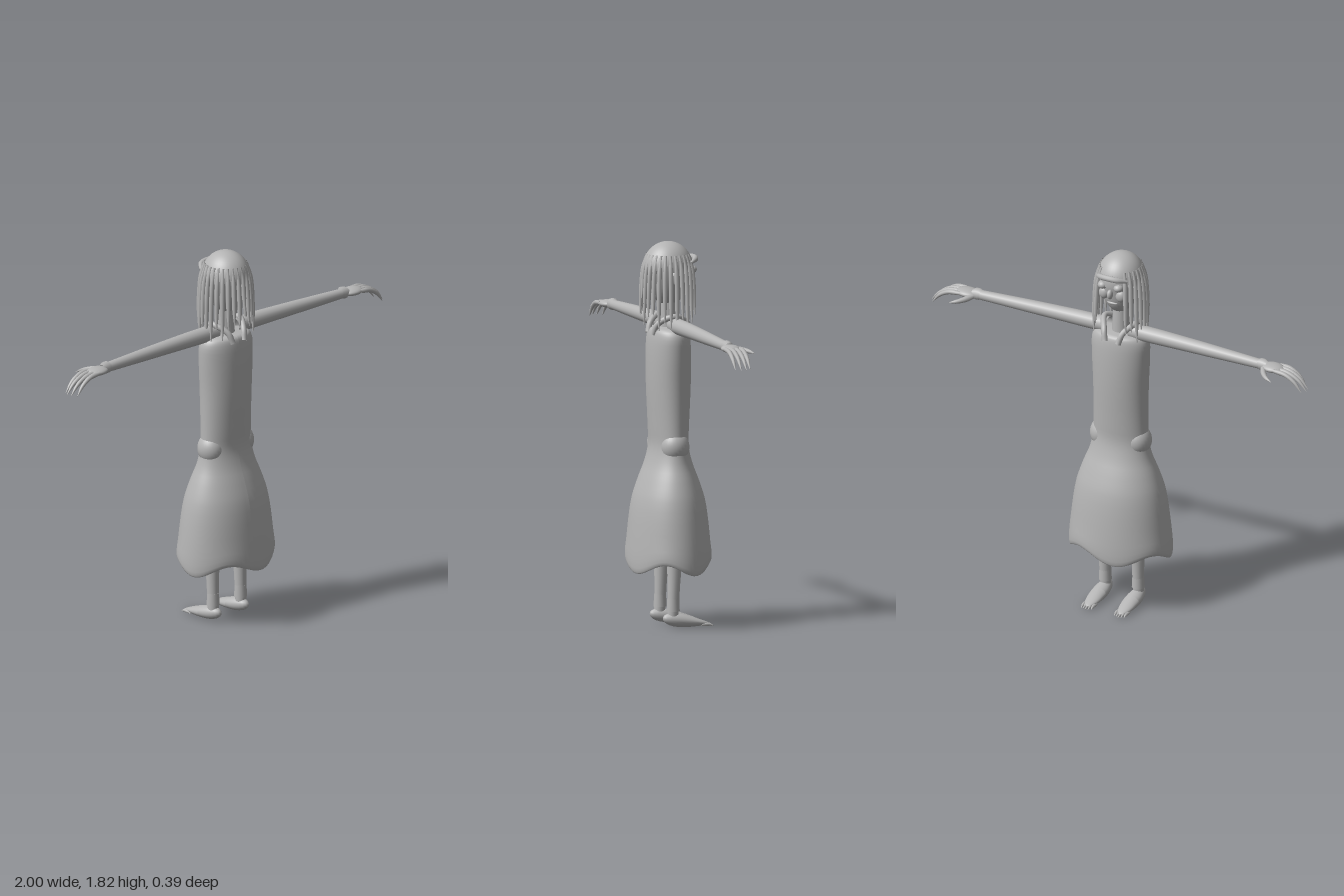
import * as THREE from 'three';

const V = (x, y, z) => new THREE.Vector3(x, y, z);
const clay = new THREE.MeshStandardMaterial({ color: 0xb4b4b4, side: THREE.DoubleSide });
clay.name = 'grey clay';

function add(parent, name, geometry) {
  const mesh = new THREE.Mesh(geometry, clay);
  mesh.name = name;
  parent.add(mesh);
  return mesh;
}

function ellipsoid(parent, name, pos, rx, ry, rz) {
  const g = new THREE.SphereGeometry(1, 28, 18).scale(rx, ry, rz);
  add(parent, name, g).position.set(...pos);
}

// Round limb along a smooth path; radii are spread evenly along its length.
function limb(parent, name, path, radii, sides = 10, segs = 24) {
  const curve = new THREE.CatmullRomCurve3(path.map(p => V(...p)));
  const g = new THREE.TubeGeometry(curve, segs, 1, sides);
  const p = g.attributes.position, v = V(0, 0, 0);
  for (let i = 0; i < p.count; i++) {
    const t = Math.floor(i / (sides + 1)) / segs, f = t * (radii.length - 1);
    const k = Math.min(Math.floor(f), radii.length - 2);
    const r = THREE.MathUtils.lerp(radii[k], radii[k + 1], f - k);
    const c = curve.getPointAt(t);
    v.fromBufferAttribute(p, i).sub(c).multiplyScalar(r).add(c);
    p.setXYZ(i, v.x, v.y, v.z);
  }
  add(parent, name, g);
}

// Elliptical loft through rows of [y, rx, rz], with an optional wavy hem.
function loft(rows, hem = () => 0, sides = 64, n = 48) {
  const pts = new THREE.CatmullRomCurve3(rows.map(r => V(r[1], r[0], r[2])), false, 'centripetal').getPoints(n);
  const g = new THREE.LatheGeometry(pts.map(p => new THREE.Vector2(Math.max(p.x, 1e-4), p.y)), sides);
  const a = g.attributes.position;
  for (let i = 0; i < a.count; i++) {
    const q = pts[i % (n + 1)], phi = Math.floor(i / (n + 1)) / sides * Math.PI * 2;
    a.setXYZ(i, q.x * Math.sin(phi), q.y + hem(phi, q.y), q.z * Math.cos(phi));
  }
  g.computeVertexNormals();
  return g;
}

function buildDress(g) {
  const wave = (phi, y) => 0.026 * Math.cos(4 * (phi + Math.PI / 6)) * Math.max(0, 1 - (y - 0.29) / 0.12);
  add(g, 'dress', loft([
    [0.31, 0.235, 0.175], [0.29, 0.25, 0.188], [0.31, 0.257, 0.195], [0.42, 0.248, 0.188], [0.6, 0.222, 0.166],
    [0.7, 0.19, 0.135], [0.78, 0.158, 0.105], [0.86, 0.142, 0.087], [0.95, 0.138, 0.09],
    [1.15, 0.139, 0.1], [1.3, 0.146, 0.1], [1.38, 0.144, 0.094], [1.41, 0.125, 0.085],
    [1.42, 0.07, 0.055], [1.425, 0, 0]], wave));
  for (const s of [-1, 1]) {
    ellipsoid(g, 'hip', [s * 0.092, 0.86, 0], 0.064, 0.075, 0.068);
    limb(g, 'strap', [[s * 0.035, 1.39, 0.088], [s * 0.05, 1.44, 0.07], [s * 0.085, 1.475, 0],
      [s * 0.05, 1.44, -0.075], [s * 0.035, 1.39, -0.095]], [0.014, 0.014, 0.014]);
  }
}

function buildHead(g) {
  add(g, 'neck', new THREE.CylinderGeometry(0.035, 0.045, 0.18, 20)).position.set(0, 1.48, 0);
  add(g, 'face', loft([[1.525, 0, 0], [1.535, 0.035, 0.045], [1.58, 0.072, 0.082], [1.65, 0.096, 0.1],
    [1.72, 0.1, 0.108], [1.78, 0.075, 0.085], [1.81, 0, 0]], undefined, 32, 24));
  // Smooth cap of hair, open over the lower face
  const cap = new THREE.SphereGeometry(1, 36, 16, 0, Math.PI * 2, 0, Math.PI * 0.53).scale(0.112, 0.125, 0.12);
  add(g, 'hairCap', cap).position.set(0, 1.698, 0.002);
  // Hanging locks all round except in front of the face
  const count = 23;
  for (let i = 0; i < count; i++) {
    const a = (i / (count - 1) - 0.5) * 1.56 * Math.PI;
    const side = Math.abs(Math.sin(a));
    const end = 1.53 - 0.11 * side + 0.03 * Math.sin(i * 2.4);
    const at = (r, y) => [Math.sin(a) * r, y, Math.cos(a) * r * 1.05];
    limb(g, 'lock', [at(0.095, 1.765), at(0.113, 1.7), at(0.121, 1.62), at(0.127, end)],
      [0.006, 0.011, 0.011, 0.01, 0.002], 8, 14);
  }
  // Facial features on the -z side
  limb(g, 'browBand', [[-0.08, 1.725, -0.085], [-0.045, 1.738, -0.118], [0, 1.742, -0.127],
    [0.045, 1.738, -0.118], [0.08, 1.725, -0.085]], [0.006, 0.014, 0.014, 0.014, 0.006]);
  ellipsoid(g, 'nose', [0, 1.65, -0.108], 0.014, 0.024, 0.018);
  ellipsoid(g, 'mouth', [0, 1.595, -0.084], 0.028, 0.008, 0.01);
  for (const s of [-1, 1]) {
    ellipsoid(g, 'eye', [s * 0.042, 1.69, -0.1], 0.024, 0.02, 0.026);
    ellipsoid(g, 'cheek', [s * 0.045, 1.64, -0.084], 0.026, 0.03, 0.02);
    ellipsoid(g, 'ear', [s * 0.1, 1.66, 0], 0.014, 0.035, 0.02);
  }
}

function buildArm(g, s) {
  limb(g, 'arm', [[s * 0.06, 1.432, -0.008], [s * 0.3, 1.43, -0.008], [s * 0.55, 1.426, -0.008],
    [s * 0.76, 1.422, -0.008]], [0.038, 0.037, 0.034, 0.031, 0.027, 0.023], 18);
  limb(g, 'wristCuff', [[s * 0.735, 1.424, -0.008], [s * 0.76, 1.424, -0.008], [s * 0.785, 1.422, -0.008]],
    [0.02, 0.028, 0.028, 0.02], 16);
  ellipsoid(g, 'palm', [s * 0.815, 1.42, -0.007], 0.058, 0.019, 0.044);
  // Four curved fingers ending in thin points
  [-0.041, -0.017, 0.007, 0.029].forEach((z, i) => {
    const L = [0.135, 0.15, 0.145, 0.125][i];
    limb(g, 'finger', [[s * 0.835, 1.422, z], [s * (0.85 + L * 0.35), 1.415, z],
      [s * (0.85 + L * 0.72), 1.387, z], [s * (0.85 + L), 1.342, z]],
    [0.009, 0.012, 0.011, 0.01, 0.007, 0.001], 10);
  });
  limb(g, 'thumb', [[s * 0.775, 1.416, -0.03], [s * 0.8, 1.41, -0.07], [s * 0.825, 1.405, -0.094],
    [s * 0.86, 1.398, -0.11]], [0.012, 0.014, 0.012, 0.009, 0.001], 10);
}

function buildLeg(g, s) {
  const x = s * 0.088;
  limb(g, 'leg', [[x, 0.8, 0], [x, 0.45, 0], [x, 0.28, 0.003], [x, 0.06, 0.01]],
    [0.058, 0.052, 0.045, 0.038, 0.03, 0.026], 18);
  add(g, 'ankleCuff', new THREE.CylinderGeometry(0.028, 0.031, 0.06, 20)).position.set(x, 0.112, 0.008);
  // Foot pointing to -z, wide at the ball and flat at the toes
  const foot = new THREE.SphereGeometry(1, 24, 16);
  const p = foot.attributes.position;
  for (let i = 0; i < p.count; i++) {
    const t = (1 - p.getZ(i)) / 2;
    const h = THREE.MathUtils.lerp(0.045, 0.012, t), y = p.getY(i);
    p.setXYZ(i, x + p.getX(i) * 0.04, h * (1 + y) + 0.004, 0.06 - t * 0.235);
  }
  foot.computeVertexNormals();
  add(g, 'foot', foot);
  for (let i = 0; i < 5; i++) {
    const tx = x + (i - 2) * 0.013, tip = -0.193 + Math.abs(i - 2) * 0.006;
    limb(g, 'toe', [[tx, 0.014, -0.125], [tx, 0.014, -0.165], [tx, 0.006, tip]], [0.006, 0.008, 0.007, 0.001], 8, 8);
  }
}

export function createModel() {
  const model = new THREE.Group();
  model.name = 'figure';
  const part = name => {
    const g = new THREE.Group();
    g.name = name;
    model.add(g);
    return g;
  };
  buildDress(part('dressGroup'));
  buildHead(part('headGroup'));
  for (const s of [-1, 1]) {
    const side = s > 0 ? 'left' : 'right';
    buildArm(part(side + 'ArmGroup'), s);
    buildLeg(part(side + 'LegGroup'), s);
  }
  return model;
}
